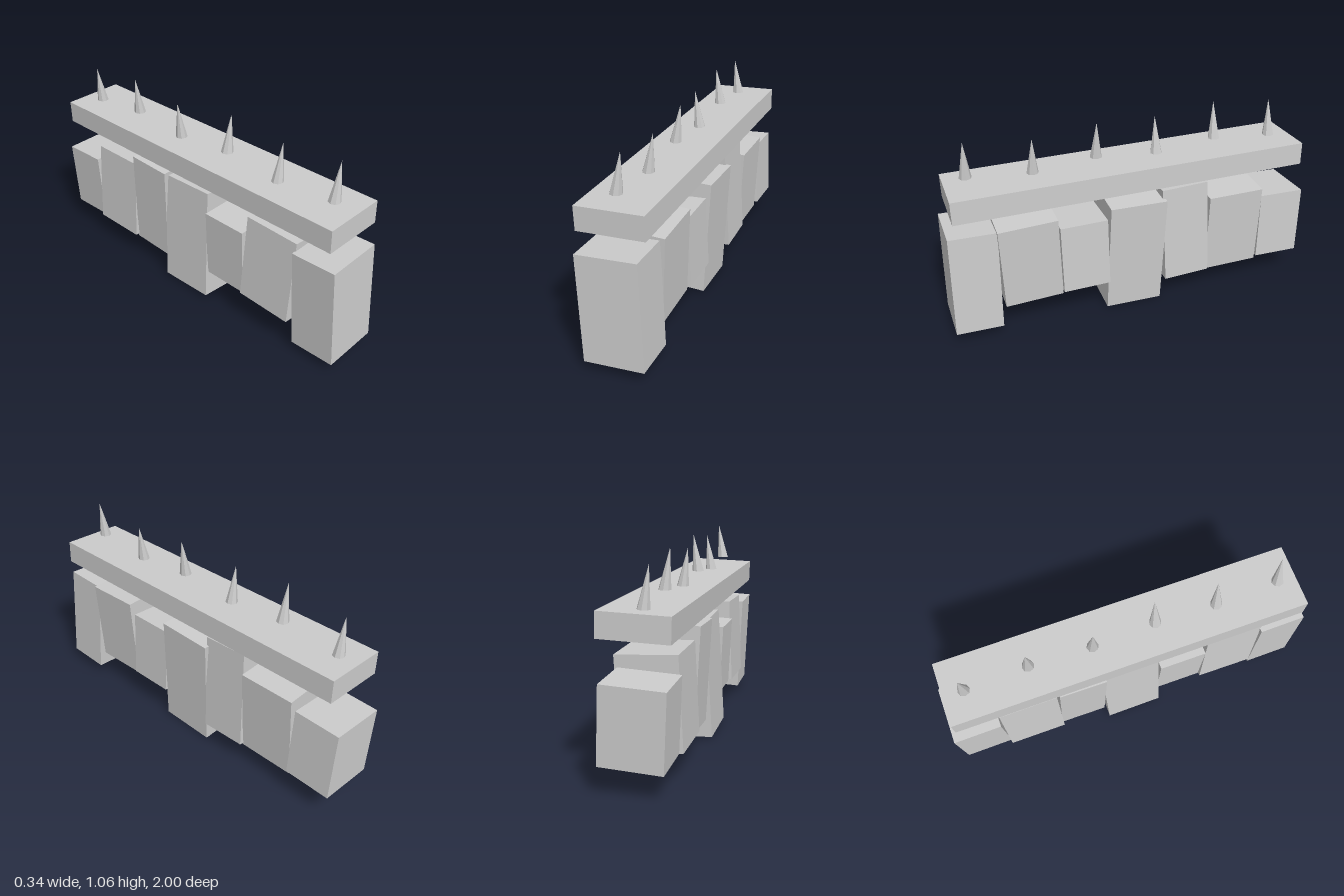
import * as THREE from 'three';

const material = new THREE.MeshStandardMaterial({ color: 0xcccccc, flatShading: true });

function addBox(group, name, size, position, tiltX, tiltZ) {
  const mesh = new THREE.Mesh(new THREE.BoxGeometry(...size), material);
  mesh.name = name;
  mesh.position.set(...position);
  mesh.rotation.set(tiltX, 0, tiltZ);
  group.add(mesh);
}

export function createModel() {
  const model = new THREE.Group();
  model.name = 'spikedWall';

  // Row of uneven stone blocks, leaning alternately left and right
  const blocks = [
    // z, centre y, height, depth, tilt about x
    [0.867, 0.334, 0.553, 0.247, -0.03],
    [0.578, 0.405, 0.467, 0.31, 0.033],
    [0.287, 0.372, 0.38, 0.256, 0.005],
    [0.002, 0.33, 0.63, 0.312, -0.03],
    [-0.284, 0.405, 0.547, 0.256, 0.033],
    [-0.573, 0.37, 0.465, 0.314, 0],
    [-0.863, 0.337, 0.38, 0.256, -0.03],
  ];
  const wall = new THREE.Group();
  wall.name = 'stoneBlocks';
  blocks.forEach(([z, y, height, depth, tiltX], i) => {
    addBox(wall, 'stoneBlock', [0.308, height, depth], [0, y, z], tiltX, i % 2 ? -0.05 : 0.05);
  });
  model.add(wall);

  // Capping beam, tipped slightly sideways
  addBox(model, 'cappingBeam', [0.34, 0.122, 1.9], [-0.002, 0.772, 0], 0, 0.03);

  // Spikes with level bases, tips pushed sideways
  const spikes = new THREE.Group();
  spikes.name = 'spikes';
  for (let i = 0; i < 6; i++) {
    const lean = i < 3 ? 0.027 : -0.027;
    const geometry = new THREE.ConeGeometry(0.032, 0.2, 8);
    geometry.translate(0, 0.1, 0);
    const shear = new THREE.Matrix4().set(
      1, lean / 0.2, 0, 0,
      0, 1, 0, 0,
      0, 0, 1, 0,
      0, 0, 0, 1);
    geometry.applyMatrix4(shear);
    const spike = new THREE.Mesh(geometry, material);
    spike.name = 'spike';
    spike.position.set(-0.017, i % 2 ? 0.83 : 0.865, 0.84 - i * 0.336);
    spikes.add(spike);
  }
  model.add(spikes);
  return model;
}
